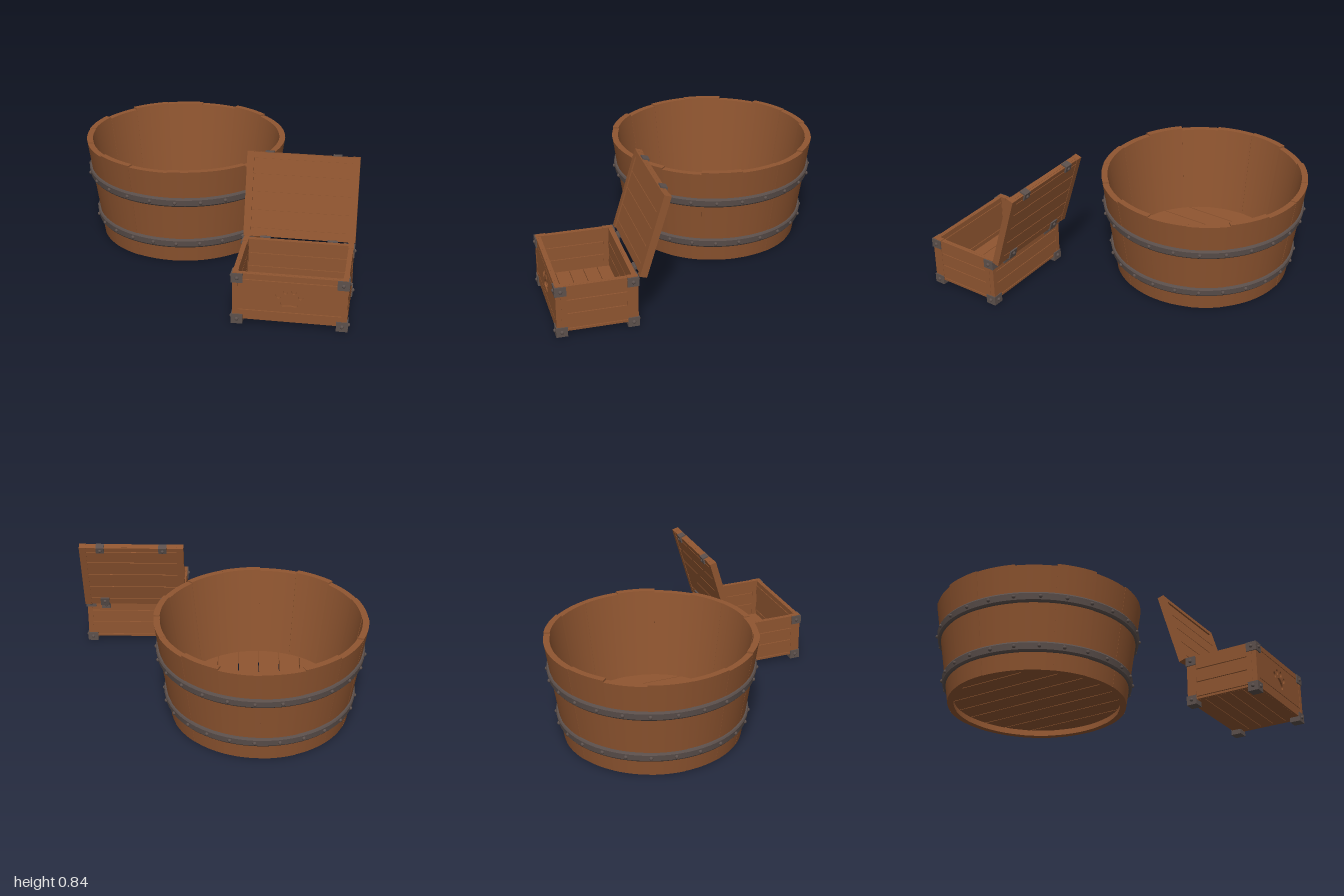
import * as THREE from 'three';
import { toCreasedNormals } from 'three/addons/utils/BufferGeometryUtils.js';

const wood = new THREE.MeshStandardMaterial({ color: 0x8f5530 });
wood.name = 'wood';
const iron = new THREE.MeshStandardMaterial({ color: 0x5c504c });
iron.name = 'iron';

function add(parent, name, geo, mat, x = 0, y = 0, z = 0) {
  const m = new THREE.Mesh(geo, mat);
  m.name = name;
  m.position.set(x, y, z);
  parent.add(m);
  return m;
}

// box given by its lower and upper corners
function block(parent, name, mat, x0, x1, y0, y1, z0, z1) {
  return add(parent, name, new THREE.BoxGeometry(x1 - x0, y1 - y0, z1 - z0), mat,
    (x0 + x1) / 2, (y0 + y1) / 2, (z0 + z1) / 2);
}

function group(parent, name, x, y, z) {
  const g = new THREE.Group();
  g.name = name;
  g.position.set(x, y, z);
  parent.add(g);
  return g;
}

const rivetGeo = new THREE.SphereGeometry(0.012, 10, 8);
const outerRadius = (y) => 0.572 + 0.149 * y;

// box bent into a tapered segment of the tub wall
function staveGeometry(angle, width, height, offset) {
  const geo = new THREE.BoxGeometry(1, 1, 1, 8, 1, 1);
  const p = geo.attributes.position;
  for (let i = 0; i < p.count; i++) {
    const a = angle + p.getX(i) * width;
    const y = (p.getY(i) + 0.5) * height;
    const r = outerRadius(y) + offset + (p.getZ(i) - 0.5) * 0.04;
    p.setXYZ(i, r * Math.sin(a), y, r * Math.cos(a));
  }
  return toCreasedNormals(geo, 0.5);
}

function buildTub(parent) {
  const tub = group(parent, 'tub', -0.272, 0, -0.327);
  const staves = 16, step = (Math.PI * 2) / staves;
  for (let i = 0; i < staves; i++) {
    const height = 0.665 + 0.007 * Math.sin(i * 2.3 + 0.5);
    const offset = 0.0015 * Math.sin(i * 4.1);
    add(tub, 'stave', staveGeometry((i + 0.5) * step, step, height, offset), wood);
  }

  // floor boards cut to a circle
  const R = 0.545, w = 0.137;
  for (let k = -4; k < 4; k++) {
    const x0 = Math.max(k * w + 0.003, -R), x1 = Math.min((k + 1) * w - 0.003, R);
    const front = [], back = [];
    for (let j = 0; j <= 8; j++) {
      const x = x0 + ((x1 - x0) * j) / 8;
      const d = Math.sqrt(Math.max(0, R * R - x * x));
      front.push(new THREE.Vector2(x, -d));
      back.unshift(new THREE.Vector2(x, d));
    }
    const geo = new THREE.ExtrudeGeometry(new THREE.Shape([...front, ...back]),
      { depth: 0.045, bevelEnabled: false });
    geo.rotateX(-Math.PI / 2);
    add(tub, 'floorBoard', geo, wood, 0, 0.04, 0);
  }

  // iron hoops with rivets
  for (const y of [0.14, 0.45]) {
    const profile = [[-0.032, -0.01], [-0.03, 0.011], [-0.02, 0.018], [0.02, 0.018], [0.03, 0.011], [0.032, -0.01]]
      .map(([dy, dr]) => new THREE.Vector2(outerRadius(y + dy) + dr, y + dy));
    add(tub, 'hoop', toCreasedNormals(new THREE.LatheGeometry(profile, 72), 0.5), iron);
    const r = outerRadius(y) + 0.019;
    for (let i = 0; i < 25; i++) {
      const a = 0.07 + (i * Math.PI * 2) / 25;
      add(tub, 'hoopRivet', rivetGeo, iron, r * Math.sin(a), y, r * Math.cos(a));
    }
  }
}

// board with a sunken paw mark
function pawBoard(parent, x0, x1, y0, y1) {
  const shape = new THREE.Shape([[x0, y0], [x1, y0], [x1, y1], [x0, y1]].map((p) => new THREE.Vector2(...p)));
  for (const s of [-1, 1]) {
    for (const [x, y, tilt] of [[0.068, 0.175, 0.4], [0.026, 0.207, 0.12]]) {
      shape.holes.push(new THREE.Path().absellipse(s * x, y, 0.014, 0.021, 0, Math.PI * 2, true, -s * tilt));
    }
  }
  const pad = [[0, 0.172], [0.026, 0.16], [0.052, 0.125], [0.042, 0.105], [0, 0.109],
    [-0.042, 0.105], [-0.052, 0.125], [-0.026, 0.16]].map((p) => new THREE.Vector3(p[0], p[1], 0));
  const curve = new THREE.CatmullRomCurve3(pad, true);
  shape.holes.push(new THREE.Path(curve.getPoints(32).slice(0, -1).map((p) => new THREE.Vector2(p.x, p.y))));
  const geo = new THREE.ExtrudeGeometry(shape, { depth: 0.012, bevelEnabled: false, curveSegments: 20 });
  add(parent, 'pawBoard', geo, wood, 0, 0, -0.012);
  block(parent, 'pawBacking', wood, x0, x1, y0, y1, -0.03, -0.012);
}

// boarded wall: outer face at local z = 0
function buildWall(parent, name, x, z, turn, width, cuts, paw) {
  const wall = group(parent, name, x, 0.03, z);
  wall.rotation.y = turn;
  const h = width / 2, inner = h - 0.034, top = cuts[cuts.length - 1];
  for (const s of [-1, 1]) {
    block(wall, 'cornerPost', wood, Math.min(s * h, s * inner), Math.max(s * h, s * inner), 0, top, -0.032, 0.002);
  }
  block(wall, 'wallCore', wood, -inner, inner, 0.002, top - 0.002, -0.022, -0.014);
  for (let i = 0; i < cuts.length - 1; i++) {
    const y0 = cuts[i] + 0.0025, y1 = cuts[i + 1] - 0.0025;
    if (paw && i === 1) pawBoard(wall, -inner, inner, y0, y1);
    else block(wall, 'wallBoard', wood, -inner, inner, y0, y1, -0.03, 0);
  }
}

function buildChest(parent) {
  const chest = group(parent, 'chest', 0.585, 0, 0.735);
  const hx = 0.34, hz = 0.245;
  const sideCuts = [0, 0.02, 0.12, 0.21, 0.305];
  buildWall(chest, 'frontWall', 0, hz, 0, hx * 2, [0, 0.065, 0.265, 0.305], true);
  buildWall(chest, 'backWall', 0, -hz, Math.PI, hx * 2, sideCuts, false);
  for (const s of [-1, 1]) {
    buildWall(chest, 'sideWall', s * hx, 0, (s * Math.PI) / 2, (hz - 0.03) * 2, sideCuts, false);
  }

  // floor boards
  for (let i = 0; i < 5; i++) {
    const z = -0.225 + i * 0.09;
    block(chest, 'chestFloorBoard', wood, -0.32, 0.32, 0.032, 0.062, z + 0.002, z + 0.088);
  }

  // corner irons: solid feet below, angle plates above
  for (const sx of [-1, 1]) for (const sz of [-1, 1]) {
    const corner = group(chest, 'cornerIron', sx * hx, 0, sz * hz);
    const cx = -sx * 0.028, cz = -sz * 0.028;
    add(corner, 'foot', new THREE.BoxGeometry(0.07, 0.062, 0.07), iron, cx, 0.031, cz);
    add(corner, 'frontPlate', new THREE.BoxGeometry(0.07, 0.06, 0.009), iron, cx, 0.302, sz * 0.0035);
    add(corner, 'sidePlate', new THREE.BoxGeometry(0.009, 0.06, 0.07), iron, sx * 0.0035, 0.302, cz);
    for (const y of [0.032, 0.302]) {
      add(corner, 'cornerRivet', rivetGeo, iron, cx, y, sz * 0.007);
      add(corner, 'cornerRivet', rivetGeo, iron, sx * 0.007, y, cz);
    }
  }

  // open lid leaning back: inner face at local z = 0
  const lid = group(chest, 'lid', 0, 0.332, -0.255);
  lid.rotation.x = -0.29;
  const cuts = [0, 0.057, 0.17, 0.285, 0.395, 0.492, 0.53];
  block(lid, 'lidCore', wood, -0.305, 0.305, 0.002, 0.528, -0.03, -0.018);
  for (let i = 0; i < cuts.length - 1; i++) {
    const proud = i === 5 ? 0 : -0.008;
    block(lid, 'lidBoard', wood, -0.303, 0.303, cuts[i] + 0.0025, cuts[i + 1] - 0.0025, -0.042, proud);
  }
  for (const s of [-1, 1]) {
    add(lid, 'lidBatten', new THREE.BoxGeometry(0.044, 0.53, 0.045), wood, s * 0.325, 0.265, -0.0225);

    // hinges on the back and clasps on the free edge
    const x = s * 0.208;
    block(lid, 'hingeStrap', iron, x - 0.03, x + 0.03, -0.005, 0.06, -0.051, -0.041);
    block(lid, 'hingeLip', iron, x - 0.03, x + 0.03, -0.006, 0.003, -0.048, 0.002);
    add(lid, 'hingeRivet', rivetGeo, iron, x, 0.035, -0.05);
    block(lid, 'claspStrap', iron, x - 0.027, x + 0.027, 0.49, 0.537, -0.052, -0.041);
    block(lid, 'claspLip', iron, x - 0.027, x + 0.027, 0.528, 0.537, -0.05, -0.008);
    add(lid, 'claspRivet', rivetGeo, iron, x, 0.51, -0.05);
    block(chest, 'hingePlate', iron, x - 0.03, x + 0.03, 0.265, 0.335, -0.256, -0.245);
    add(chest, 'hingeRivet', rivetGeo, iron, x, 0.29, -0.255);
    const pin = add(chest, 'hingePin', new THREE.CylinderGeometry(0.009, 0.009, 0.064, 12), iron, x, 0.332, -0.257);
    pin.rotation.z = Math.PI / 2;
  }
}

export function createModel() {
  const model = new THREE.Group();
  model.name = 'tubAndChest';
  buildTub(model);
  buildChest(model);
  return model;
}
